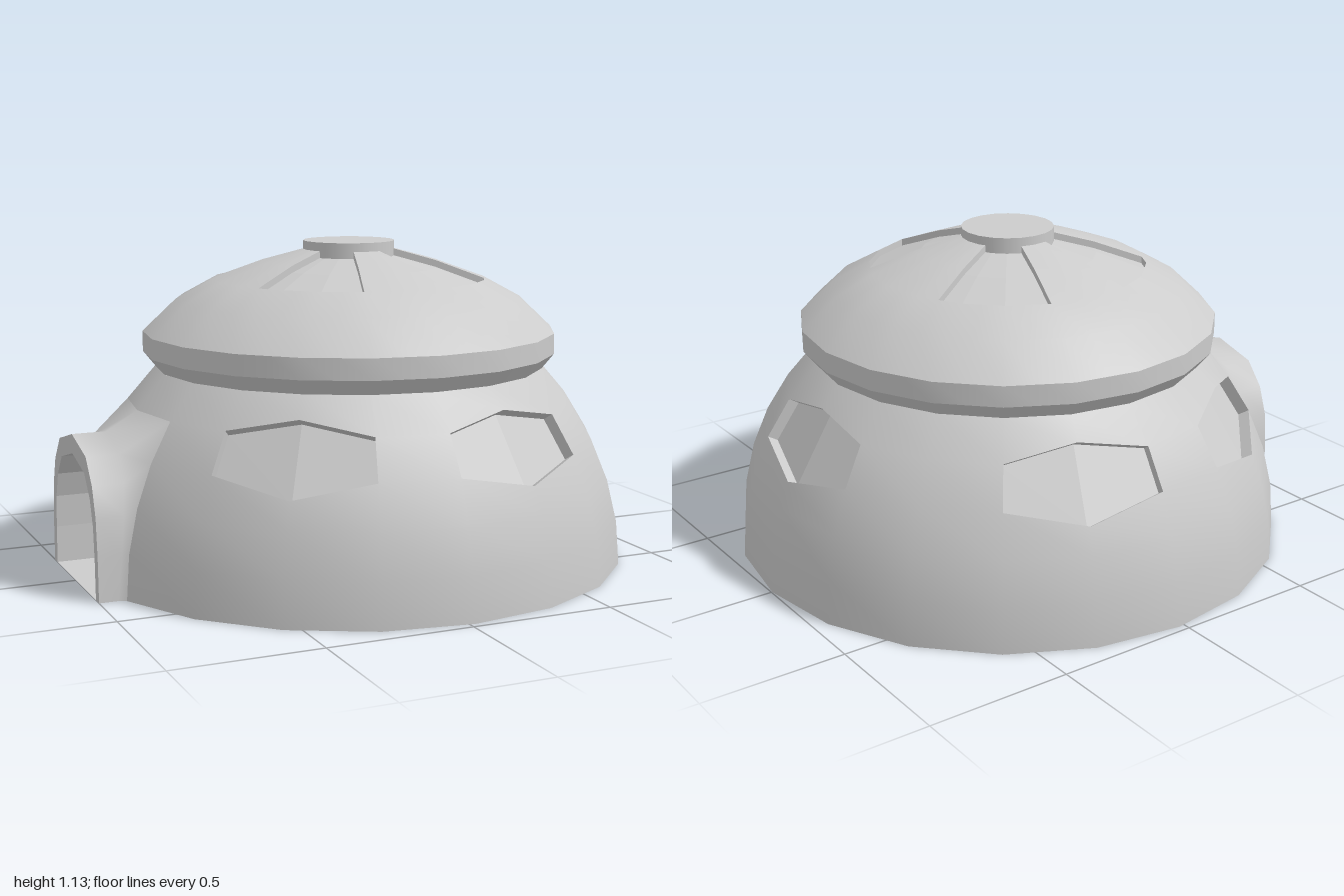
import * as THREE from 'three';

const CX = 0.02;         // dome axis
const R = 0.977;         // dome radius
const SIDES = 20;
const rad = THREE.MathUtils.degToRad;
const V = (x, y, z) => new THREE.Vector3(x, y, z);

const smooth = new THREE.MeshStandardMaterial({ color: 0xcccccc, side: THREE.DoubleSide });
const flat = new THREE.MeshStandardMaterial({ color: 0xcccccc, side: THREE.DoubleSide, flatShading: true });

// Point on the 20-sided outline of radius r, at any angle in degrees
function onRing(r, y, deg) {
  const off = ((deg % 18) + 18) % 18 - 9;
  const q = r * Math.cos(rad(9)) / Math.cos(rad(off));
  return V(CX + q * Math.cos(rad(deg)), y, q * Math.sin(rad(deg)));
}

// Surface through rows of points; cells can be left out
function grid(name, rows, { closed = false, skip = () => false, material = smooth } = {}) {
  const n = rows[0].length, index = [];
  for (let j = 0; j < rows.length - 1; j++) {
    for (let i = 0; i < (closed ? n : n - 1); i++) {
      if (skip(i, j)) continue;
      const k = (i + 1) % n;
      const a = j * n + i, b = (j + 1) * n + i, c = (j + 1) * n + k, d = j * n + k;
      index.push(a, b, c, a, c, d);
    }
  }
  const geo = new THREE.BufferGeometry().setFromPoints(rows.flat());
  geo.setIndex(index);
  geo.computeVertexNormals();
  const mesh = new THREE.Mesh(geo, material);
  mesh.name = name;
  return mesh;
}

// Sunken panel with side walls, pushed in from a patch of points
function recess(name, rows, push) {
  const group = new THREE.Group();
  group.name = name;
  const sunk = p => p.clone().add(push);
  const last = rows.length - 1, end = rows[0].length - 1;
  const loop = [
    ...rows[0],
    ...rows.slice(1, last).map(r => r[end]),
    ...[...rows[last]].reverse(),
    ...rows.slice(1, last).map(r => r[0]).reverse(),
  ];
  group.add(
    grid(name + 'Panel', rows.map(r => r.map(sunk)), { material: flat }),
    grid(name + 'Sides', [loop.map(sunk), loop], { closed: true, material: flat }),
  );
  return group;
}

function addDome(model) {
  const windows = [0, 4, 7, 13, 16];   // centre column of each window
  const point = (i, j) => {
    let lat = j * 9;
    if (windows.includes(i)) lat = j === 3 ? 23.5 : j === 4 ? 39.4 : lat;
    return onRing(R * Math.cos(rad(lat)), R * Math.sin(rad(lat)), i * 18);
  };
  const rows = [0, 1, 2, 3, 4, 5].map(j =>
    Array.from({ length: SIDES }, (_, i) => point(i, j)));
  const isWindow = (i, j) => j === 3 && windows.some(c => i === c || (i + 1) % SIDES === c);
  const isDoor = (i, j) => j < 4 && (i === 9 || i === 10);
  model.add(grid('domeWall', rows, { closed: true, skip: (i, j) => isWindow(i, j) || isDoor(i, j) }));

  for (const c of windows) {
    const cols = [(c + SIDES - 1) % SIDES, c, c + 1];
    const a = rad(c * 18), e = rad(31), d = -0.042;
    const push = V(d * Math.cos(e) * Math.cos(a), d * Math.sin(e), d * Math.cos(e) * Math.sin(a));
    model.add(recess('window', [3, 4].map(j => cols.map(i => rows[j][i])), push));
  }
  return rows;
}

function addEntrance(model, dome) {
  // Half arch as [z, y], from the ground up, mirrored into a full section
  const half = [[0.29, 0], [0.287, 0.15], [0.275, 0.28], [0.24, 0.38], [0.17, 0.465]];
  const arch = [...half, [0, 0.51], ...half.map(([z, y]) => [-z, y]).reverse()];
  const section = (x, s = 1) => arch.map(([z, y]) => V(x, y * s, z * s));
  const root = [
    ...[0, 1, 2, 3, 4].map(j => dome[j][9]),
    dome[4][10],
    ...[4, 3, 2, 1, 0].map(j => dome[j][11]),
  ];
  const bend = arch.map(([z, y]) => V(-0.935 + 0.055 * y / 0.51, y, z));
  const mouth = section(-1), opening = section(-1, 0.87), back = section(-0.5, 0.87);

  const group = new THREE.Group();
  group.name = 'entrance';
  group.add(
    grid('entranceShell', [root, bend, mouth]),
    grid('entranceFrame', [mouth, opening], { material: flat }),
    grid('entrancePassage', [opening, back], { material: flat }),
    grid('entranceBackWall', [back, back.map(p => V(p.x, 0, 0))], { material: flat }),
    grid('entranceFloor', [[opening[0], opening[10]], [back[0], back[10]]], { material: flat }),
  );
  model.add(group);
}

function addRoof(model) {
  const ring = ([r, y]) => Array.from({ length: 40 }, (_, i) => onRing(r, y, i * 9));
  const profile = (name, points, skip) =>
    grid(name, points.map(ring), { closed: true, skip });

  model.add(
    profile('roofUnderside', [[0.691, 0.691], [0.733, 0.743]]),
    profile('roofRim', [[0.733, 0.743], [0.733, 0.815]]),
  );

  // Upper roof with four sunken petals
  const top = [[0.733, 0.815], [0.617, 0.925], [0.485, 0.997], [0.31, 1.06], [0.15, 1.103]];
  const petals = [3, 12, 23, 32];
  model.add(profile('roof', top, (i, j) => j >= 2 && petals.some(s => i >= s && i < s + 5)));
  const rows = top.slice(2).map(ring);
  for (const s of petals) {
    model.add(recess('roofPetal', rows.map(r => r.slice(s, s + 6)), V(0, -0.024, 0)));
  }

  // Cap disc
  const cap = new THREE.Group();
  cap.name = 'roofCap';
  const side = new THREE.Mesh(new THREE.CylinderGeometry(0.162, 0.162, 0.06, SIDES), smooth);
  side.name = 'roofCapDisc';
  cap.add(side);
  cap.position.set(CX, 1.1, 0);
  model.add(cap);
}

export function createModel() {
  const model = new THREE.Group();
  model.name = 'domeHut';
  const dome = addDome(model);
  addEntrance(model, dome);
  addRoof(model);
  return model;
}
